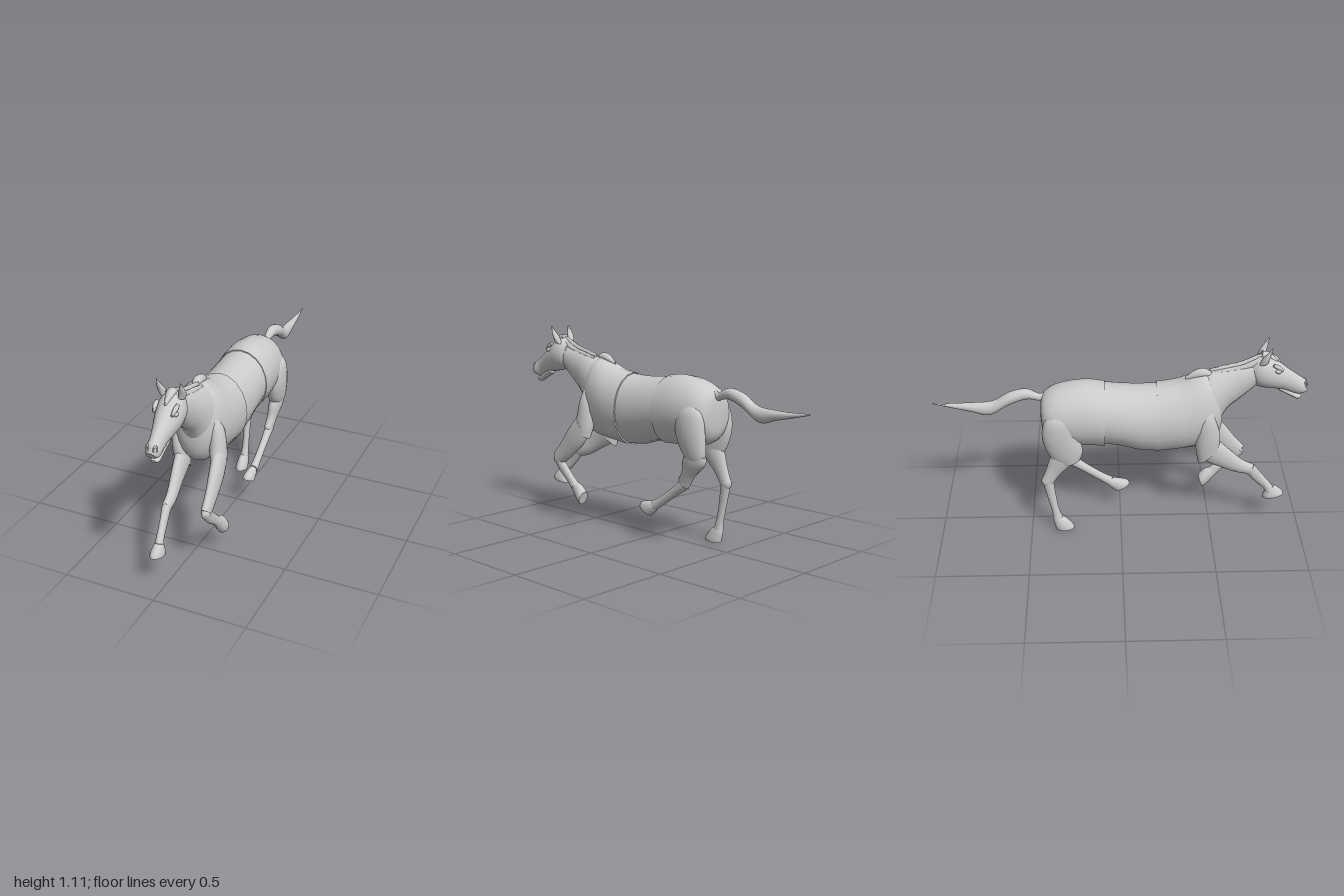
import * as THREE from 'three';
import { toCreasedNormals } from 'three/addons/utils/BufferGeometryUtils.js';

const grey = new THREE.MeshStandardMaterial({ color: 0xcccccc });
const SIDES = 20, STEPS = 4;

// Smooth loft through oval sections. Each section is
// [z1, y1, z2, y2, halfWidth, x]: two opposite points of the oval in side view, then its width.
function loft(name, sections, cx = 0) {
  const n = sections.length, rows = [];
  const at = (i) => sections[Math.max(0, Math.min(n - 1, i))];
  for (let i = 0; i < n - 1; i++) {
    for (let s = 0; s < STEPS + (i === n - 2 ? 1 : 0); s++) {
      const t = s / STEPS, row = [];
      for (let k = 0; k < 6; k++) {
        const [a, b, c, d] = [at(i - 1), at(i), at(i + 1), at(i + 2)].map((q) => q[k] ?? cx);
        row.push(0.5 * (2 * b + (c - a) * t + (2 * a - 5 * b + 4 * c - d) * t * t + (3 * b - a - 3 * c + d) * t ** 3));
      }
      row[4] = Math.max(row[4], 0.001);
      rows.push(row);
    }
  }
  const pos = [], idx = [];
  for (const [z1, y1, z2, y2, w, x] of rows) {
    for (let j = 0; j < SIDES; j++) {
      const a = (j / SIDES) * Math.PI * 2, c = Math.cos(a) / 2;
      pos.push(x + w * Math.sin(a), (y1 + y2) / 2 + (y1 - y2) * c, (z1 + z2) / 2 + (z1 - z2) * c);
    }
  }
  for (let i = 0; i < rows.length - 1; i++) {
    for (let j = 0; j < SIDES; j++) {
      const a = i * SIDES + j, b = i * SIDES + ((j + 1) % SIDES), c = a + SIDES, d = b + SIDES;
      idx.push(a, b, c, b, d, c);
    }
  }
  // end caps
  const last = rows.length - 1;
  for (const i of [0, last]) {
    const [z1, y1, z2, y2, , x] = rows[i], m = pos.length / 3;
    pos.push(x, (y1 + y2) / 2, (z1 + z2) / 2);
    for (let j = 0; j < SIDES; j++) {
      const a = i * SIDES + j, b = i * SIDES + ((j + 1) % SIDES);
      idx.push(m, ...(i ? [a, b] : [b, a]));
    }
  }
  // turn faces outward if the enclosed volume is negative
  let volume = 0;
  const v = (i) => new THREE.Vector3().fromArray(pos, i * 3);
  for (let i = 0; i < idx.length; i += 3) volume += v(idx[i]).dot(v(idx[i + 1]).cross(v(idx[i + 2])));
  if (volume < 0) idx.reverse();
  const geo = new THREE.BufferGeometry();
  geo.setAttribute('position', new THREE.Float32BufferAttribute(pos, 3));
  geo.setIndex(idx);
  const mesh = new THREE.Mesh(toCreasedNormals(geo, 0.7), grey);
  mesh.name = name;
  return mesh;
}

function ball(name, x, y, z, sx, sy, sz) {
  const m = new THREE.Mesh(new THREE.SphereGeometry(1, 14, 10), grey);
  m.name = name;
  m.position.set(x, y, z);
  m.scale.set(sx, sy, sz);
  return m;
}

function group(name, ...parts) {
  const g = new THREE.Group();
  g.name = name;
  g.add(...parts);
  return g;
}

export function createModel() {
  const model = new THREE.Group();
  model.name = 'gallopingHorse';

  // Torso in three pieces
  model.add(group('torso',
    loft('hips', [
      [-0.425, 0.79, -0.425, 0.68, 0.05], [-0.41, 0.835, -0.415, 0.61, 0.1], [-0.36, 0.872, -0.375, 0.56, 0.135],
      [-0.28, 0.897, -0.28, 0.537, 0.15], [-0.18, 0.907, -0.18, 0.53, 0.154], [-0.085, 0.895, -0.085, 0.525, 0.153]], -0.013),
    loft('belly', [
      [-0.095, 0.89, -0.095, 0.54, 0.149], [0, 0.88, 0, 0.525, 0.152], [0.1, 0.876, 0.1, 0.495, 0.153], [0.2, 0.88, 0.2, 0.485, 0.152]], -0.013),
    loft('chest', [
      [0.19, 0.884, 0.19, 0.48, 0.155], [0.3, 0.903, 0.3, 0.49, 0.152], [0.39, 0.94, 0.4, 0.5, 0.138],
      [0.45, 0.95, 0.475, 0.515, 0.122], [0.5, 0.9, 0.525, 0.57, 0.095], [0.53, 0.83, 0.545, 0.64, 0.055]], -0.008)));

  // Neck
  model.add(loft('neck', [
    [0.4, 0.935, 0.5, 0.6, 0.11, -0.005], [0.49, 0.96, 0.57, 0.73, 0.082, 0], [0.58, 0.982, 0.63, 0.785, 0.063, 0.003],
    [0.66, 1, 0.69, 0.84, 0.056, 0.006], [0.73, 1.02, 0.73, 0.88, 0.05, 0.01]]));

  // Mane strands and withers tuft
  const mane = group('mane');
  for (const [dx, drop] of [[0, 0], [-0.02, 0.012], [0.02, 0.012]]) {
    mane.add(loft('maneStrand', [
      [0.76, 1.06, 0.74, 1.02, 0.011], [0.7, 1.04, 0.7, 0.99, 0.012], [0.63, 1.007, 0.63, 0.96, 0.012],
      [0.54, 0.985, 0.54, 0.94, 0.012], [0.47, 0.965, 0.47, 0.92, 0.009]].map((s) => [s[0], s[1] - drop, s[2], s[3] - drop, s[4], 0.005 + dx])));
  }
  mane.add(loft('withersTuft', [
    [0.475, 0.955, 0.46, 0.93, 0.016], [0.44, 0.977, 0.43, 0.93, 0.024], [0.39, 0.968, 0.39, 0.92, 0.02], [0.34, 0.93, 0.34, 0.9, 0.005]], -0.013));
  model.add(mane);

  // Head
  const head = group('head',
    loft('skull', [
      [0.69, 1.015, 0.69, 0.91, 0.045, 0.01], [0.73, 1.045, 0.71, 0.87, 0.064, 0.01], [0.78, 1.035, 0.75, 0.855, 0.071, 0.011],
      [0.84, 0.992, 0.8, 0.845, 0.063, 0.013], [0.9, 0.945, 0.855, 0.835, 0.047, 0.016], [0.95, 0.908, 0.91, 0.812, 0.037, 0.018],
      [0.985, 0.88, 0.95, 0.802, 0.038, 0.02], [1, 0.845, 0.98, 0.81, 0.026, 0.02]]),
    loft('lowerJaw', [
      [0.85, 0.855, 0.84, 0.828, 0.028], [0.91, 0.825, 0.9, 0.795, 0.026], [0.95, 0.8, 0.94, 0.773, 0.024], [0.967, 0.792, 0.963, 0.777, 0.014]], 0.018),
    loft('forelock', [
      [0.74, 1.063, 0.73, 1.03, 0.022], [0.78, 1.055, 0.77, 1.02, 0.02], [0.825, 1.01, 0.815, 0.99, 0.006]], 0.01));
  for (const s of [-1, 1]) {
    const x = (d) => 0.01 + s * d;
    head.add(
      loft('ear', [
        [0.765, 1.02, 0.72, 1.01, 0.018, x(0.047)], [0.77, 1.05, 0.733, 1.045, 0.02, x(0.054)],
        [0.778, 1.08, 0.757, 1.08, 0.012, x(0.06)], [0.782, 1.112, 0.778, 1.112, 0.002, x(0.062)]]),
      ball('eye', x(0.055), 0.972, 0.822, 0.013, 0.012, 0.016),
      loft('brow', [
        [0.8, 1.015, 0.79, 1, 0.008, x(0.053)], [0.825, 1.005, 0.815, 0.985, 0.012, x(0.053)], [0.85, 0.98, 0.845, 0.965, 0.006, x(0.047)]]));
    const nostril = new THREE.Mesh(new THREE.TorusGeometry(0.013, 0.005, 8, 14), grey);
    nostril.name = 'nostril';
    nostril.position.set(0.02 + s * 0.021, 0.862, 0.985);
    nostril.scale.set(0.7, 1.3, 1);
    nostril.rotation.set(-0.2, s * 0.6, 0);
    head.add(nostril);
  }
  model.add(head);

  // Tail
  model.add(loft('tail', [
    [-0.39, 0.85, -0.39, 0.78, 0.022], [-0.43, 0.836, -0.43, 0.792, 0.017], [-0.5, 0.865, -0.5, 0.805, 0.027],
    [-0.59, 0.845, -0.6, 0.768, 0.033], [-0.68, 0.793, -0.7, 0.708, 0.029], [-0.8, 0.783, -0.8, 0.732, 0.022],
    [-0.9, 0.782, -0.9, 0.755, 0.012], [-1, 0.787, -1, 0.78, 0.002]], -0.01));

  // Left foreleg, folded back
  model.add(group('leftForeleg',
    loft('upperArm', [
      [0.48, 0.79, 0.44, 0.78, 0.015, 0.085], [0.5, 0.72, 0.41, 0.7, 0.035, 0.1], [0.52, 0.62, 0.405, 0.58, 0.043, 0.108],
      [0.54, 0.56, 0.42, 0.5, 0.037, 0.118]]),
    loft('forearm', [
      [0.51, 0.62, 0.425, 0.53, 0.036, 0.118], [0.575, 0.545, 0.47, 0.455, 0.034, 0.126], [0.64, 0.455, 0.56, 0.375, 0.027, 0.132],
      [0.7, 0.385, 0.635, 0.325, 0.024, 0.135]]),
    ball('knee', 0.135, 0.35, 0.665, 0.024, 0.034, 0.036),
    loft('cannon', [
      [0.7, 0.345, 0.65, 0.38, 0.022], [0.655, 0.285, 0.6, 0.32, 0.02], [0.58, 0.222, 0.54, 0.26, 0.02], [0.55, 0.19, 0.505, 0.228, 0.024]], 0.134),
    loft('hoof', [
      [0.555, 0.195, 0.515, 0.235, 0.02], [0.53, 0.165, 0.485, 0.225, 0.027], [0.49, 0.118, 0.46, 0.2, 0.034], [0.473, 0.112, 0.45, 0.185, 0.032]], 0.132)));

  // Right foreleg, reaching forward
  model.add(group('rightForeleg',
    loft('upperArm', [
      [0.48, 0.79, 0.44, 0.78, 0.015, -0.1], [0.5, 0.72, 0.41, 0.7, 0.035, -0.108], [0.53, 0.62, 0.4, 0.56, 0.042, -0.1],
      [0.53, 0.53, 0.42, 0.43, 0.038, -0.09]]),
    loft('forearm', [
      [0.53, 0.57, 0.43, 0.45, 0.036, -0.087], [0.6, 0.495, 0.53, 0.4, 0.03, -0.078], [0.67, 0.425, 0.615, 0.355, 0.026, -0.067],
      [0.73, 0.39, 0.685, 0.335, 0.024, -0.062]]),
    ball('knee', -0.062, 0.365, 0.705, 0.025, 0.034, 0.034),
    loft('cannon', [
      [0.735, 0.39, 0.685, 0.345, 0.023, -0.062], [0.785, 0.32, 0.74, 0.28, 0.019, -0.056], [0.83, 0.26, 0.795, 0.225, 0.02, -0.05],
      [0.855, 0.225, 0.81, 0.19, 0.025, -0.046]]),
    loft('hoof', [
      [0.86, 0.235, 0.81, 0.21, 0.021], [0.88, 0.22, 0.805, 0.19, 0.028], [0.908, 0.195, 0.798, 0.165, 0.034], [0.915, 0.178, 0.8, 0.153, 0.033]], -0.044)));

  // Left hind leg, swung forward
  model.add(group('leftHindLeg',
    loft('thigh', [
      [-0.28, 0.775, -0.36, 0.775, 0.02, 0.095], [-0.243, 0.72, -0.405, 0.73, 0.045, 0.1], [-0.235, 0.63, -0.425, 0.62, 0.052, 0.1],
      [-0.265, 0.54, -0.425, 0.5, 0.043, 0.095], [-0.3, 0.49, -0.4, 0.46, 0.03, 0.09]]),
    loft('shin', [
      [-0.3, 0.53, -0.43, 0.505, 0.036, 0.093], [-0.275, 0.475, -0.42, 0.46, 0.036, 0.09], [-0.265, 0.415, -0.35, 0.395, 0.028, 0.085],
      [-0.235, 0.365, -0.31, 0.335, 0.024, 0.08]]),
    ball('hock', 0.08, 0.35, -0.275, 0.025, 0.036, 0.036),
    loft('cannon', [
      [-0.27, 0.375, -0.295, 0.315, 0.024], [-0.19, 0.31, -0.215, 0.265, 0.02], [-0.1, 0.245, -0.12, 0.2, 0.02], [-0.045, 0.215, -0.065, 0.16, 0.024]], 0.08),
    loft('hoof', [
      [-0.045, 0.21, -0.07, 0.168, 0.02], [-0.015, 0.208, -0.06, 0.155, 0.026], [0.04, 0.195, -0.04, 0.137, 0.031], [0.053, 0.175, -0.03, 0.127, 0.03]], 0.077)));

  // Right hind leg, planted
  model.add(group('rightHindLeg',
    loft('thigh', [
      [-0.28, 0.775, -0.36, 0.775, 0.02, -0.12], [-0.243, 0.72, -0.405, 0.73, 0.043, -0.122], [-0.225, 0.63, -0.42, 0.62, 0.047, -0.12],
      [-0.205, 0.54, -0.38, 0.5, 0.04, -0.115], [-0.22, 0.48, -0.32, 0.44, 0.03, -0.112]]),
    loft('shin', [
      [-0.215, 0.52, -0.37, 0.54, 0.036, -0.113], [-0.26, 0.455, -0.385, 0.49, 0.034, -0.11], [-0.33, 0.38, -0.405, 0.42, 0.026, -0.108],
      [-0.37, 0.32, -0.432, 0.345, 0.024, -0.107]]),
    ball('hock', -0.107, 0.335, -0.402, 0.024, 0.036, 0.034),
    loft('cannon', [
      [-0.37, 0.345, -0.43, 0.335, 0.023], [-0.36, 0.24, -0.41, 0.235, 0.018], [-0.345, 0.14, -0.385, 0.125, 0.019], [-0.325, 0.08, -0.382, 0.07, 0.024]], -0.107),
    loft('hoof', [
      [-0.325, 0.085, -0.375, 0.08, 0.02], [-0.3, 0.067, -0.378, 0.055, 0.027], [-0.267, 0.025, -0.37, 0.015, 0.033], [-0.262, 0.008, -0.365, 0, 0.032]], -0.108)));

  return model;
}
